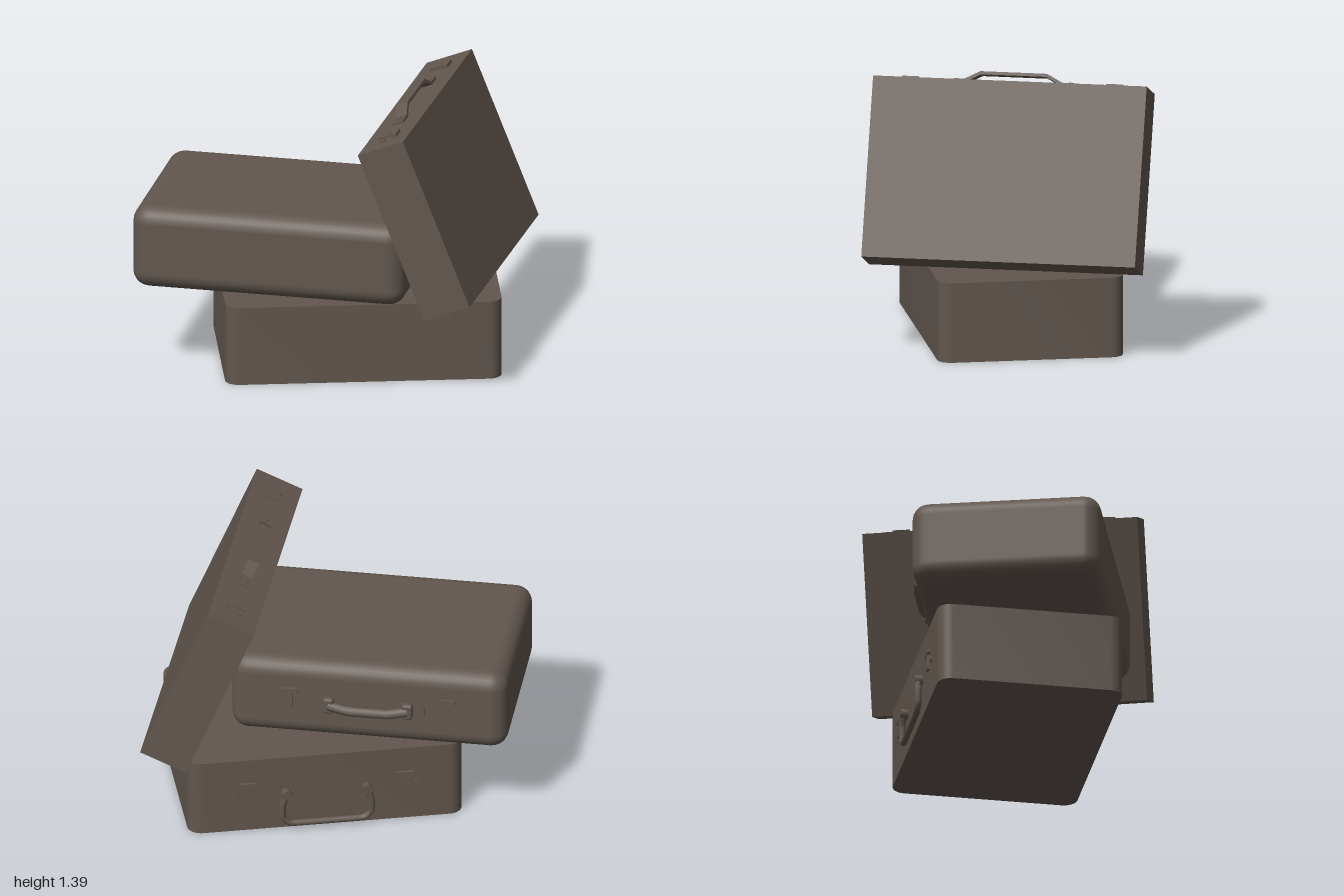
import * as THREE from 'three';
import { toCreasedNormals } from 'three/addons/utils/BufferGeometryUtils.js';
import { RoundedBoxGeometry } from 'three/addons/geometries/RoundedBoxGeometry.js';

const leather = new THREE.MeshStandardMaterial({ color: 0x62574f });
leather.name = 'brown leather';

function add(parent, name, geometry, x = 0, y = 0, z = 0) {
  const mesh = new THREE.Mesh(geometry, leather);
  mesh.name = name;
  mesh.position.set(x, y, z);
  parent.add(mesh);
  return mesh;
}

// Slab with rounded vertical corners and crisp top and bottom edges
function roundedSlab(w, h, l, r) {
  const x = w / 2, y = l / 2, s = new THREE.Shape();
  s.moveTo(x, y - r);
  s.absarc(x - r, y - r, r, 0, Math.PI / 2);
  s.absarc(-x + r, y - r, r, Math.PI / 2, Math.PI);
  s.absarc(-x + r, -y + r, r, Math.PI, Math.PI * 1.5);
  s.absarc(x - r, -y + r, r, Math.PI * 1.5, Math.PI * 2);
  const g = new THREE.ExtrudeGeometry(s, { depth: h, bevelEnabled: false, curveSegments: 5 });
  g.translate(0, 0, -h / 2).rotateX(-Math.PI / 2);
  return toCreasedNormals(g, 0.7);
}

// Fittings are made on a face looking along +z, with x along the case
function addLatches(face, latchX, buttonX, y) {
  for (const side of [-1, 1]) {
    const latch = new THREE.Group();
    latch.name = 'latch';
    latch.position.set(side * latchX, y, 0);
    add(latch, 'latchBar', new THREE.BoxGeometry(0.085, 0.025, 0.02), 0, 0.04, 0.006);
    add(latch, 'latchStem', new THREE.BoxGeometry(0.032, 0.08, 0.016), 0, -0.012, 0.005);
    face.add(latch);
    const button = new THREE.CylinderGeometry(0.017, 0.017, 0.008, 12).rotateX(Math.PI / 2);
    add(face, 'lockButton', button, side * buttonX, y - 0.02, 0.003);
  }
}

// Round grip following a list of [x, y, z] points
function grip(face, points, radius) {
  const path = new THREE.CurvePath();
  const p = points.map((a) => new THREE.Vector3(...a));
  for (let i = 1; i < p.length; i++) path.add(new THREE.LineCurve3(p[i - 1], p[i]));
  const curve = new THREE.CatmullRomCurve3(p, false, 'catmullrom', 0.15);
  return add(face, 'handleGrip', new THREE.TubeGeometry(curve, 40, radius, 8));
}

function suitcase(name, position, yaw, lean = 0) {
  const g = new THREE.Group();
  g.name = name;
  g.position.set(...position);
  g.rotation.set(lean, yaw, 0, 'YXZ');
  return g;
}

function fittings(parent, position, rotation) {
  const face = new THREE.Group();
  face.name = 'fittings';
  face.position.set(...position);
  face.rotation.set(...rotation);
  parent.add(face);
  return face;
}

export function createModel() {
  const model = new THREE.Group();
  model.name = 'suitcaseStack';
  const quarter = Math.PI / 2;

  // Bottom case with a hanging handle
  const bottom = suitcase('bottomCase', [-0.015, 0.205, 0.05], 0.79);
  add(bottom, 'bottomBody', roundedSlab(0.94, 0.41, 1.39, 0.07));
  const bottomFace = fittings(bottom, [0.47, 0, 0], [0, quarter, 0]);
  addLatches(bottomFace, 0.4, 0.46, 0.02);
  grip(bottomFace, [
    [-0.205, 0, 0.025], [-0.225, -0.06, 0.025], [-0.225, -0.13, 0.025], [-0.18, -0.168, 0.025],
    [0.18, -0.168, 0.025], [0.225, -0.13, 0.025], [0.225, -0.06, 0.025], [0.205, 0, 0.025],
  ], 0.017);
  for (const side of [-1, 1]) {
    const mount = new THREE.CylinderGeometry(0.026, 0.026, 0.04, 10).rotateX(quarter);
    add(bottomFace, 'handleMount', mount, side * 0.205, 0, 0.02);
  }
  model.add(bottom);

  // Middle case, soft on every edge, with a sagging padded handle
  const middle = suitcase('middleCase', [-0.272, 0.665, -0.194], 0.494);
  add(middle, 'middleBody', new RoundedBoxGeometry(0.953, 0.43, 1.4, 3, 0.085));
  const middleFace = fittings(middle, [0.4765, 0, 0], [0, quarter, 0]);
  addLatches(middleFace, 0.4, 0.46, 0.02);
  grip(middleFace, [
    [-0.2, -0.005, 0.02], [-0.1, -0.022, 0.03], [0.1, -0.022, 0.03], [0.2, -0.005, 0.02],
  ], 0.026);
  for (const side of [-1, 1]) {
    add(middleFace, 'handleMount', new RoundedBoxGeometry(0.055, 0.085, 0.04, 2, 0.012), side * 0.2, -0.005, 0.015);
    const plate = new THREE.CylinderGeometry(0.04, 0.04, 0.008, 6).rotateX(quarter);
    add(middleFace, 'handlePlate', plate, side * 0.25, -0.005, 0.002);
  }
  model.add(middle);

  // Square-edged case leaning back on the middle one, handle on top
  const leaning = suitcase('leaningCase', [0.245, 0.8975, 0.427], 0.466, -0.385);
  add(leaning, 'leaningBody', new THREE.BoxGeometry(1.393, 0.92, 0.252));
  const topFace = fittings(leaning, [0, 0.46, 0], [-quarter, 0, Math.PI]);
  addLatches(topFace, 0.52, 0.575, 0);

  // Arched strap: side outline extruded across its width
  const strap = new THREE.Shape();
  const outline = [[0.33, 0], [0.33, 0.014], [0.25, 0.016], [0.17, 0.058], [-0.17, 0.058],
    [-0.25, 0.016], [-0.33, 0.014], [-0.33, 0], [-0.245, 0], [-0.165, 0.042], [0.165, 0.042], [0.245, 0]];
  strap.setFromPoints(outline.map(([x, y]) => new THREE.Vector2(x, y)));
  const strapGeometry = new THREE.ExtrudeGeometry(strap, { depth: 0.06, bevelEnabled: false });
  strapGeometry.translate(0, 0, -0.03).rotateX(quarter);
  add(topFace, 'handleStrap', strapGeometry);
  for (const side of [-1, 1]) {
    const rivet = new THREE.CylinderGeometry(0.015, 0.015, 0.008, 12).rotateX(quarter);
    add(topFace, 'handleRivet', rivet, side * 0.29, 0, 0.016);
  }
  model.add(leaning);

  return model;
}
